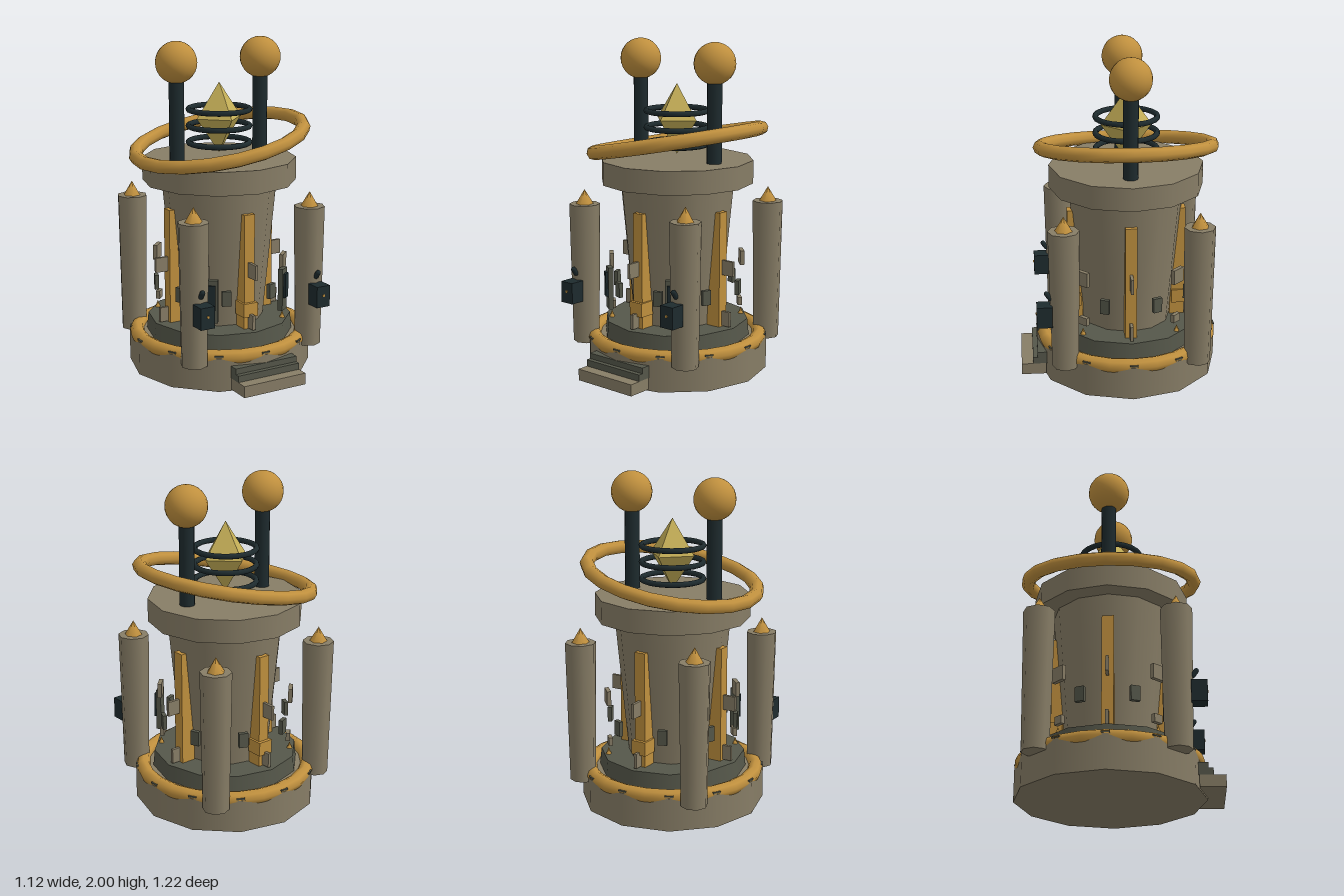
import * as THREE from 'three';

const mat = (name, color) => {
  const m = new THREE.MeshStandardMaterial({ color });
  m.name = name;
  return m;
};

export function createModel() {
  const stone = mat('stone', 0x877d66);
  const darkStone = mat('dark stone', 0x55574a);
  const brass = mat('brass', 0xc0903e);
  const iron = mat('dark iron', 0x1e2b2e);
  const crystalMat = mat('crystal', 0xc6b058);
  crystalMat.flatShading = true;

  const model = new THREE.Group();
  const tower = new THREE.Group();
  tower.name = 'tower';
  tower.position.z = -0.047;
  model.add(tower);

  const add = (name, geo, material, x = 0, y = 0, z = 0, parent = tower) => {
    const m = new THREE.Mesh(geo, material);
    m.name = name;
    m.position.set(x, y, z);
    parent.add(m);
    return m;
  };
  const box = (w, h, d) => new THREE.BoxGeometry(w, h, d);
  const cyl = (top, bottom, h, n) => new THREE.CylinderGeometry(top, bottom, h, n);
  // group turned about the tower axis, so that its +z points outwards
  const spoke = (name, angle) => {
    const g = new THREE.Group();
    g.name = name;
    g.rotation.y = angle;
    tower.add(g);
    return g;
  };

  // Base, plinth, shaft and collar
  add('base', cyl(0.558, 0.558, 0.205, 12), stone, 0, 0.1025, 0);
  add('plinth', cyl(0.44, 0.45, 0.1, 12), darkStone, 0, 0.255, 0);
  add('shaft', cyl(0.35, 0.27, 0.86, 12), stone, 0, 0.73, 0);
  add('collar', cyl(0.465, 0.465, 0.14, 12), stone, 0, 1.22, 0);

  // Brass hoop around the base, with studs
  const hoop = new THREE.TorusGeometry(0.512, 0.044, 8, 24);
  add('baseHoop', hoop, brass, 0, 0.2, 0).rotation.x = Math.PI / 2;
  for (let i = 0; i < 12; i++) {
    const g = spoke('hoopStud', (i * Math.PI) / 6);
    add('stud', box(0.05, 0.008, 0.012), darkStone, 0, 0.215, 0.55, g);
  }

  // Entrance steps
  add('lowerStep', box(0.42, 0.07, 0.15), stone, 0, 0.045, 0.582);
  add('middleStep', box(0.42, 0.04, 0.13), darkStone, 0, 0.1, 0.522);
  add('upperStep', box(0.42, 0.035, 0.1), darkStone, 0, 0.137, 0.509);

  // Vertical brass strips with fins, on four sides
  for (let i = 0; i < 4; i++) {
    const g = spoke('side', (i * Math.PI) / 2);
    add('strip', box(0.07, 0.7, 0.09), brass, 0, 0.655, 0.315, g);
    add('upperFin', box(0.018, 0.09, 0.09), stone, 0, 0.67, 0.395, g);
    add('lowerFin', box(0.018, 0.09, 0.06), stone, 0, 0.355, 0.385, g);
    if (i % 2 === 0) add('stripBlock', box(0.095, 0.085, 0.1), brass, 0, 0.425, 0.33, g);
    for (const s of [-1, 1]) {
      const p = add('wallPlate', box(0.055, 0.09, 0.025), darkStone, s * 0.155, 0.515, 0.355, g);
      p.rotation.y = s * 0.39;
    }
  }

  // Corner pillars with brass tips, diagonal plates and small spikes
  for (let i = 0; i < 4; i++) {
    const g = spoke('corner', Math.PI / 4 + (i * Math.PI) / 2);
    const r = 0.559;
    add('pillar', cyl(0.093, 0.079, 0.86, 8), stone, 0, 0.59, r, g).rotation.y = Math.PI / 4;
    add('pillarTip', new THREE.ConeGeometry(0.054, 0.09, 6), brass, 0, 1.063, r, g);
    add('cornerPlate', box(0.09, 0.09, 0.025), stone, 0, 0.67, 0.4, g);
    add('lowerCornerPlate', box(0.06, 0.05, 0.025), stone, 0, 0.39, 0.39, g);
    add('spike', new THREE.ConeGeometry(0.018, 0.045, 6), brass, 0, 0.325, 0.4, g);
  }

  // Front control boxes and levers
  for (const s of [-1, 1]) {
    const g = new THREE.Group();
    g.name = s > 0 ? 'leftControl' : 'rightControl';
    g.position.x = s * 0.395;
    tower.add(g);
    add('controlBox', box(0.092, 0.13, 0.092), iron, 0, 0.495, 0.515, g);
    add('button', cyl(0.008, 0.008, 0.008, 8), brass, 0, 0.503, 0.562, g).rotation.x = Math.PI / 2;
    const lever = add('lever', new THREE.CapsuleGeometry(0.016, 0.035, 3, 8), iron, 0, 0.615, 0.49, g);
    lever.rotation.x = 0.6;

    const panel = spoke('switchPanel', s * 0.62);
    add('panelPlate', box(0.07, 0.26, 0.03), darkStone, 0, 0.51, 0.42, panel);
    add('panelSwitch', box(0.045, 0.15, 0.03), iron, 0, 0.535, 0.435, panel);
  }

  // Rods with brass globes
  for (const s of [-1, 1]) {
    add('rod', cyl(0.045, 0.045, 0.52, 12), iron, s * 0.287, 1.54, 0);
    add('globe', new THREE.SphereGeometry(0.124, 20, 14), brass, s * 0.287, 1.876, 0);
  }

  // Floating crystal inside three iron rings
  const crystal = add('crystal', new THREE.OctahedronGeometry(1), crystalMat, 0, 1.53, 0);
  crystal.scale.set(0.152, 0.213, 0.152);
  for (const y of [1.38, 1.48, 1.58]) {
    add('coilRing', new THREE.TorusGeometry(0.184, 0.017, 8, 24), iron, 0, y, 0).rotation.x = Math.PI / 2;
  }

  // Large tilted ring
  const tilt = new THREE.Group();
  tilt.name = 'tiltedRing';
  tilt.position.y = 1.4;
  tilt.rotation.z = 0.195;
  tower.add(tilt);
  const ring = new THREE.TorusGeometry(0.513, 0.042, 8, 20);
  add('ring', ring, brass, 0, 0, 0, tilt).rotation.x = Math.PI / 2;

  return model;
}
